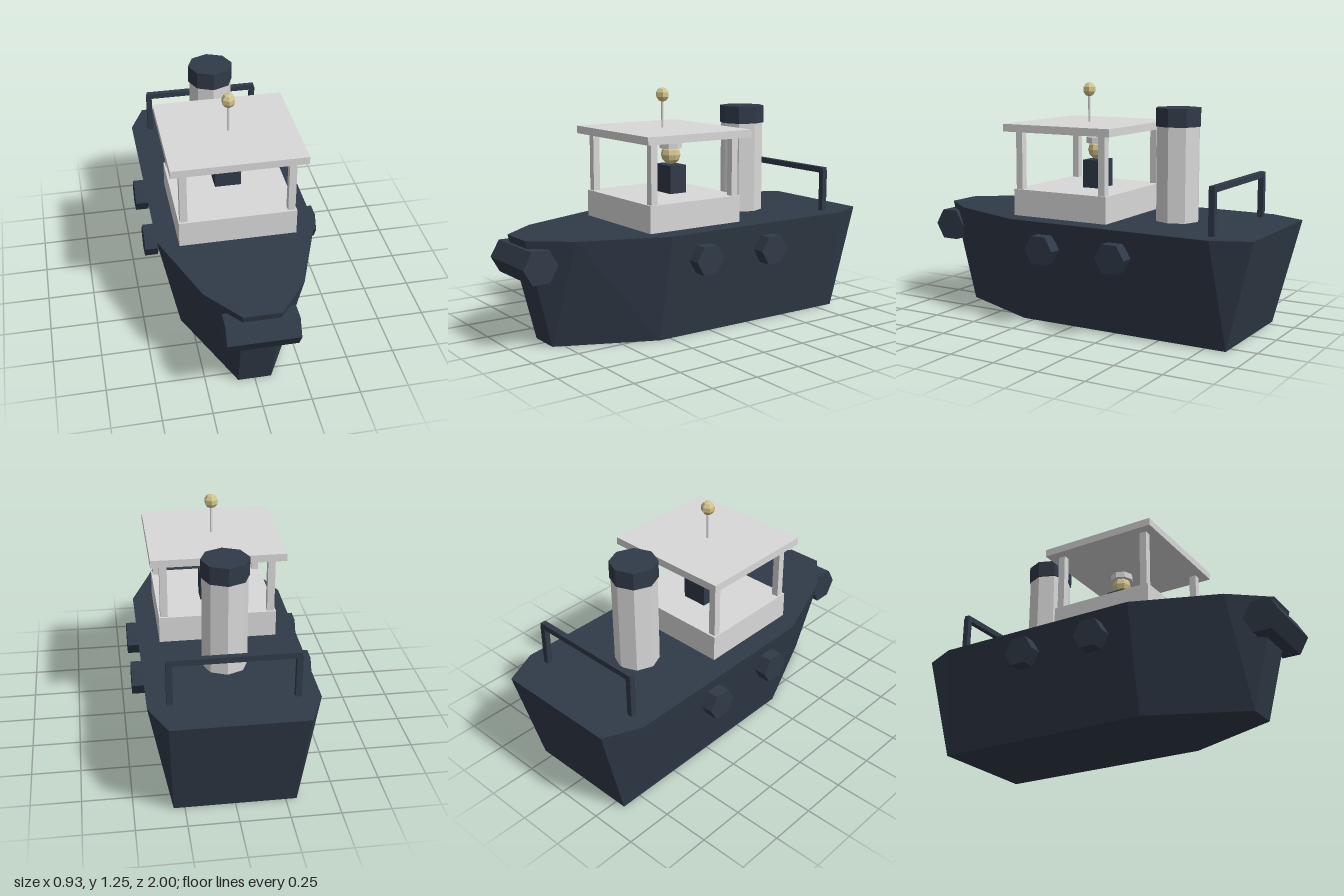
import * as THREE from 'three';

const mat = (name, color) => {
  const m = new THREE.MeshStandardMaterial({ color, flatShading: true });
  m.name = name;
  return m;
};

// Faceted hull: half outlines [x, z] of deck and keel from stern to bow
function hullGeometry() {
  const deckY = 0.555;
  const deck = [[0.33, -1], [0.415, -0.81], [0.415, 0.31], [0.25, 0.75], [0.095, 0.945]];
  const keel = [[0.305, -0.86], [0.305, 0.31], [0.085, 0.805]];
  const pos = [];
  const d = (i, s) => [s * deck[i][0], deckY, deck[i][1]];
  const k = (i, s) => [s * keel[i][0], 0, keel[i][1]];
  const tri = (a, b, c) => pos.push(...a, ...b, ...c);
  const quad = (a, b, c, e) => { tri(a, b, c); tri(a, c, e); };

  // sides
  for (const s of [1, -1]) {
    const D = (i) => d(i, s), K = (i) => k(i, s);
    const faces = [
      [D(0), D(1), K(0)], [D(1), K(1), K(0)], [D(1), D(2), K(1)],
      [D(2), D(3), K(1)], [D(3), K(2), K(1)], [D(3), D(4), K(2)],
    ];
    for (const [a, b, c] of faces) s > 0 ? tri(a, b, c) : tri(a, c, b);
  }
  // transom and stem
  quad(d(0, 1), k(0, 1), k(0, -1), d(0, -1));
  quad(d(4, -1), k(2, -1), k(2, 1), d(4, 1));
  // deck and bottom
  for (let i = 0; i < 4; i++) quad(d(i, -1), d(i + 1, -1), d(i + 1, 1), d(i, 1));
  for (let i = 0; i < 2; i++) quad(k(i, -1), k(i, 1), k(i + 1, 1), k(i + 1, -1));

  const g = new THREE.BufferGeometry();
  g.setAttribute('position', new THREE.Float32BufferAttribute(pos, 3));
  g.computeVertexNormals();
  return g;
}

export function createModel() {
  const boat = new THREE.Group();
  boat.name = 'tugboat';
  const navy = mat('navy', 0x303a48);
  const white = mat('offWhite', 0xd8d8d8);
  const brass = mat('brass', 0xd2c48c);

  const add = (name, geo, material, x, y, z) => {
    const m = new THREE.Mesh(geo, material);
    m.name = name;
    m.position.set(x, y, z);
    boat.add(m);
    return m;
  };
  const box = (name, material, w, h, dp, x, y, z) =>
    add(name, new THREE.BoxGeometry(w, h, dp), material, x, y, z);
  const cyl = (name, material, r, h, sides, x, y, z) =>
    add(name, new THREE.CylinderGeometry(r, r, h, sides), material, x, y, z);

  add('hull', hullGeometry(), navy, 0, 0, 0);

  // Fenders: hexagonal rolls lying across the boat
  cyl('bowFender', navy, 0.094, 0.36, 6, 0, 0.434, 0.906).rotation.z = Math.PI / 2;
  for (const s of [1, -1]) {
    for (const z of [0.11, -0.305]) {
      cyl('sideFender', navy, 0.083, 0.07, 6, s * 0.429, 0.418, z).rotation.z = Math.PI / 2;
    }
  }

  // Wheelhouse
  box('cabinBase', white, 0.61, 0.14, 0.56, 0, 0.625, 0.085);
  box('roof', white, 0.69, 0.04, 0.638, 0, 1.02, 0.083);
  for (const s of [1, -1]) {
    for (const z of [0.335, -0.165]) {
      box('cabinPost', white, 0.038, 0.305, 0.038, s * 0.278, 0.8475, z);
    }
  }

  // Helmsman
  box('helmsmanBody', navy, 0.14, 0.15, 0.1, 0, 0.768, 0.033);
  add('helmsmanHead', new THREE.SphereGeometry(0.053, 8, 6), brass, 0, 0.895, 0.033);
  cyl('helmsmanCap', white, 0.061, 0.032, 8, 0, 0.946, 0.033);

  // Mast with lamp
  cyl('mast', white, 0.007, 0.15, 6, 0, 1.115, 0.085);
  add('mastLamp', new THREE.SphereGeometry(0.038, 6, 5), brass, 0, 1.213, 0.085).rotation.y = Math.PI / 2;

  // Funnel
  cyl('funnel', white, 0.115, 0.485, 8, 0, 0.7975, -0.445);
  cyl('funnelCap', navy, 0.121, 0.093, 8, 0, 1.087, -0.445);

  // Stern rail
  box('sternRail', navy, 0.636, 0.03, 0.03, 0, 0.78, -0.78);
  for (const s of [1, -1]) {
    box('railPost', navy, 0.03, 0.225, 0.03, s * 0.307, 0.6675, -0.78);
  }

  return boat;
}
